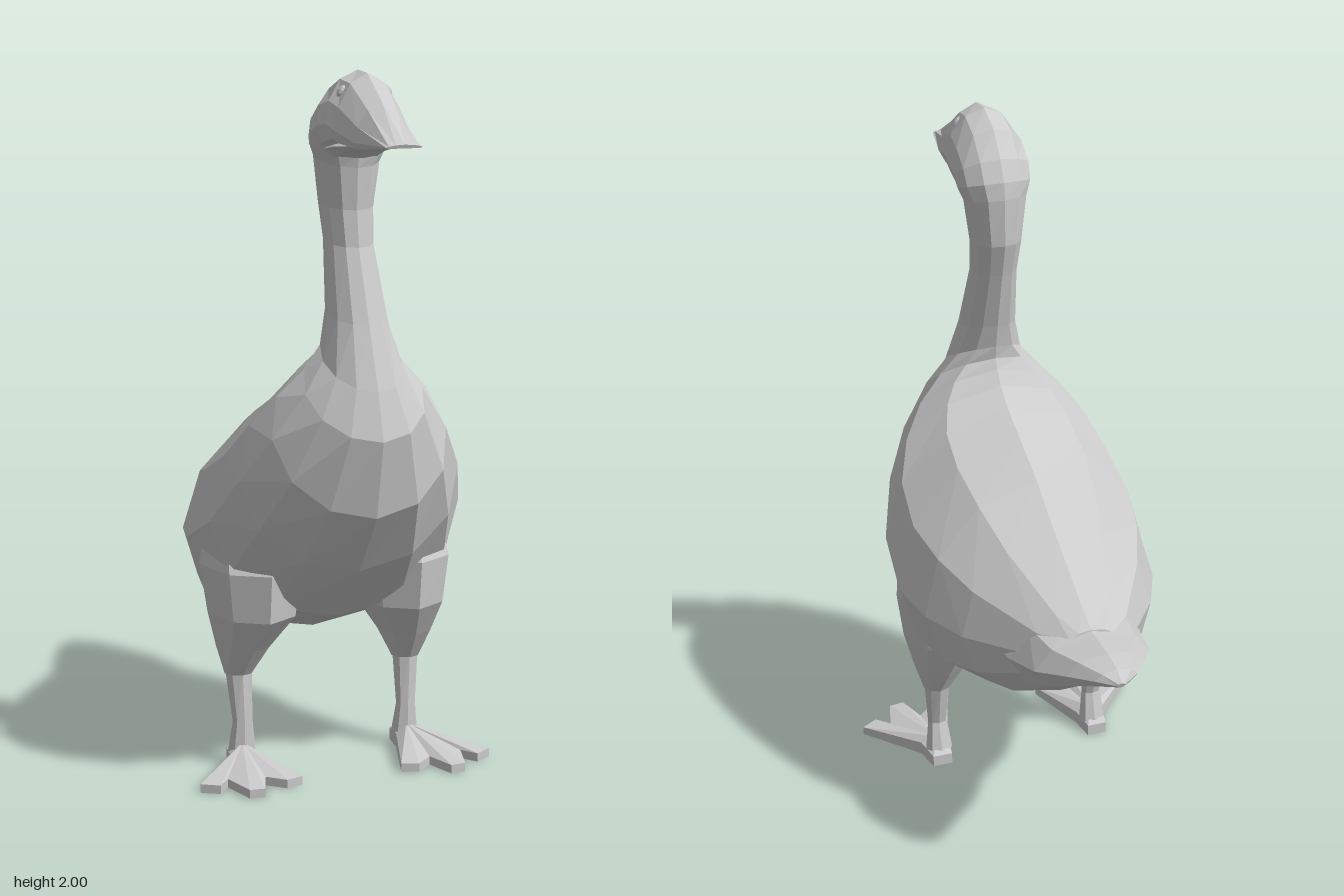
import * as THREE from 'three';

const material = new THREE.MeshStandardMaterial({ color: 0xcccccc, flatShading: true });

function toMesh(name, triangles) {
  const geometry = new THREE.BufferGeometry();
  geometry.setAttribute('position', new THREE.Float32BufferAttribute(triangles.flat(2), 3));
  geometry.computeVertexNormals();
  const mesh = new THREE.Mesh(geometry, material);
  mesh.name = name;
  return mesh;
}

// Skins closed rings, listed from tail to beak or from the ground up.
// Each ring: [back/top z, y, front/bottom z, y, half width, drop of the widest point, centre x]
function loft(name, rings, sides = 12) {
  const loops = rings.map(([az, ay, bz, by, w, drop = 0, x = 0]) =>
    Array.from({ length: sides }, (_, i) => {
      const t = (i / sides) * Math.PI * 2;
      const s = Math.sin(t);
      const k = (Math.cos(t) - drop * s * s) / 2;
      return [x + w * s, (ay + by) / 2 + k * (ay - by), (az + bz) / 2 + k * (az - bz)];
    }));
  const centres = rings.map(([az, ay, bz, by, , , x = 0]) => [x, (ay + by) / 2, (az + bz) / 2]);
  const last = loops.length - 1;
  const triangles = [];
  for (let i = 0; i < sides; i++) {
    const j = (i + 1) % sides;
    for (let r = 0; r < last; r++) {
      const a = loops[r][i], b = loops[r][j], c = loops[r + 1][i], d = loops[r + 1][j];
      triangles.push([a, c, b], [b, c, d]);
    }
    triangles.push([centres[0], loops[0][i], loops[0][j]]);
    triangles.push([centres[last], loops[last][j], loops[last][i]]);
  }
  return toMesh(name, triangles);
}

// Webbed foot: a thin three-toed outline rising to the ankle
function foot(side) {
  const outline = [
    [0.225, 0.09], [0.285, 0.09], [0.30, 0.17], [0.44, 0.335], [0.39, 0.365], [0.355, 0.32],
    [0.325, 0.425], [0.28, 0.43], [0.25, 0.34], [0.20, 0.385], [0.15, 0.37], [0.215, 0.17],
  ];
  const at = (p, y) => [side * p[0], y, p[1]];
  const ankle = [0.255, 0.15];
  const height = (p) => (p[1] < 0.1 ? 0.035 : p[1] < 0.2 ? 0.04 : 0.025);
  const triangles = [];
  outline.forEach((p, i) => {
    const q = outline[(i + 1) % outline.length];
    const p0 = at(p, 0), q0 = at(q, 0), p1 = at(p, height(p)), q1 = at(q, height(q));
    triangles.push([at(ankle, 0.065), q1, p1], [at(ankle, 0), p0, q0], [p0, p1, q1], [p0, q1, q0]);
  });
  return toMesh('foot', side > 0 ? triangles : triangles.map(([a, b, c]) => [a, c, b]));
}

export function createModel() {
  const goose = new THREE.Group();
  goose.name = 'goose';

  // Rings shared by neighbouring parts
  const neckBase = [0.30, 1.29, 0.555, 1.15, 0.112];
  const nape = [0.212, 1.78, 0.395, 1.735, 0.092];
  const brow = [0.46, 1.992, 0.49, 1.805, 0.099, 0.6];

  // Body, from rump to the base of the neck
  goose.add(loft('body', [
    [-0.50, 0.772, -0.51, 0.70, 0.075],
    [-0.42, 0.81, -0.44, 0.555, 0.155],
    [-0.20, 0.93, -0.26, 0.43, 0.29, 0.1],
    [-0.05, 1.02, -0.12, 0.385, 0.355, 0.15],
    [0.09, 1.085, 0.04, 0.36, 0.387, 0.15],
    [0.20, 1.135, 0.26, 0.45, 0.375, 0.12],
    [0.26, 1.18, 0.42, 0.62, 0.325, 0.05],
    [0.29, 1.22, 0.55, 0.80, 0.255],
    [0.305, 1.25, 0.595, 1.02, 0.17],
    neckBase,
  ]));

  // Flat, blunt-pointed tail
  goose.add(loft('tail', [
    [-0.73, 0.735, -0.725, 0.72, 0.012],
    [-0.695, 0.76, -0.685, 0.70, 0.062],
    [-0.62, 0.768, -0.60, 0.652, 0.115],
    [-0.52, 0.768, -0.50, 0.59, 0.172],
    [-0.38, 0.78, -0.38, 0.52, 0.20],
    [-0.25, 0.80, -0.25, 0.50, 0.22],
  ], 8));

  // Slender neck
  goose.add(loft('neck', [
    neckBase,
    [0.285, 1.36, 0.485, 1.32, 0.083],
    [0.24, 1.54, 0.405, 1.52, 0.067],
    [0.212, 1.64, 0.39, 1.62, 0.074],
    nape,
  ]));

  // Head, curving forward
  goose.add(loft('head', [
    nape,
    [0.22, 1.83, 0.40, 1.765, 0.109],
    [0.25, 1.89, 0.41, 1.77, 0.113],
    [0.31, 1.96, 0.43, 1.78, 0.113, 0.2],
    [0.39, 1.997, 0.46, 1.80, 0.108, 0.4],
    brow,
  ]));

  // Wedge beak, roof-shaped above with a short lower half
  goose.add(loft('upperBeak', [
    brow,
    [0.57, 1.922, 0.57, 1.805, 0.082, 0.75],
    [0.728, 1.825, 0.725, 1.815, 0.05, 0.5],
  ]));
  goose.add(loft('lowerBeak', [
    [0.34, 1.82, 0.37, 1.75, 0.09],
    [0.44, 1.82, 0.44, 1.777, 0.085],
    [0.57, 1.815, 0.56, 1.80, 0.06],
  ], 8));

  for (const side of [1, -1]) {
    // Thigh merging into the flank, shank and foot
    const leg = new THREE.Group();
    leg.name = side > 0 ? 'leftLeg' : 'rightLeg';
    leg.add(loft('thigh', [
      [0.088, 0.27, 0.165, 0.27, 0.042, 0, side * 0.258],
      [0.03, 0.36, 0.235, 0.36, 0.08, 0, side * 0.248],
      [-0.03, 0.47, 0.315, 0.46, 0.13, 0, side * 0.225],
      [-0.06, 0.61, 0.33, 0.60, 0.15, 0, side * 0.225],
      [-0.01, 0.76, 0.24, 0.75, 0.12, 0, side * 0.23],
    ], 8));
    leg.add(loft('shank', [
      [0.10, 0.03, 0.17, 0.04, 0.042, 0, side * 0.253],
      [0.126, 0.13, 0.167, 0.13, 0.03, 0, side * 0.253],
      [0.088, 0.28, 0.165, 0.28, 0.04, 0, side * 0.258],
    ], 8));
    leg.add(foot(side));
    goose.add(leg);

    // Small eye, almost flush with the head
    const eye = new THREE.Mesh(new THREE.SphereGeometry(0.018, 8, 6), material);
    eye.name = side > 0 ? 'leftEye' : 'rightEye';
    eye.scale.set(0.5, 1, 0.8);
    eye.rotation.z = side * 0.6;
    eye.position.set(side * 0.066, 1.945, 0.44);
    goose.add(eye);
  }
  return goose;
}
